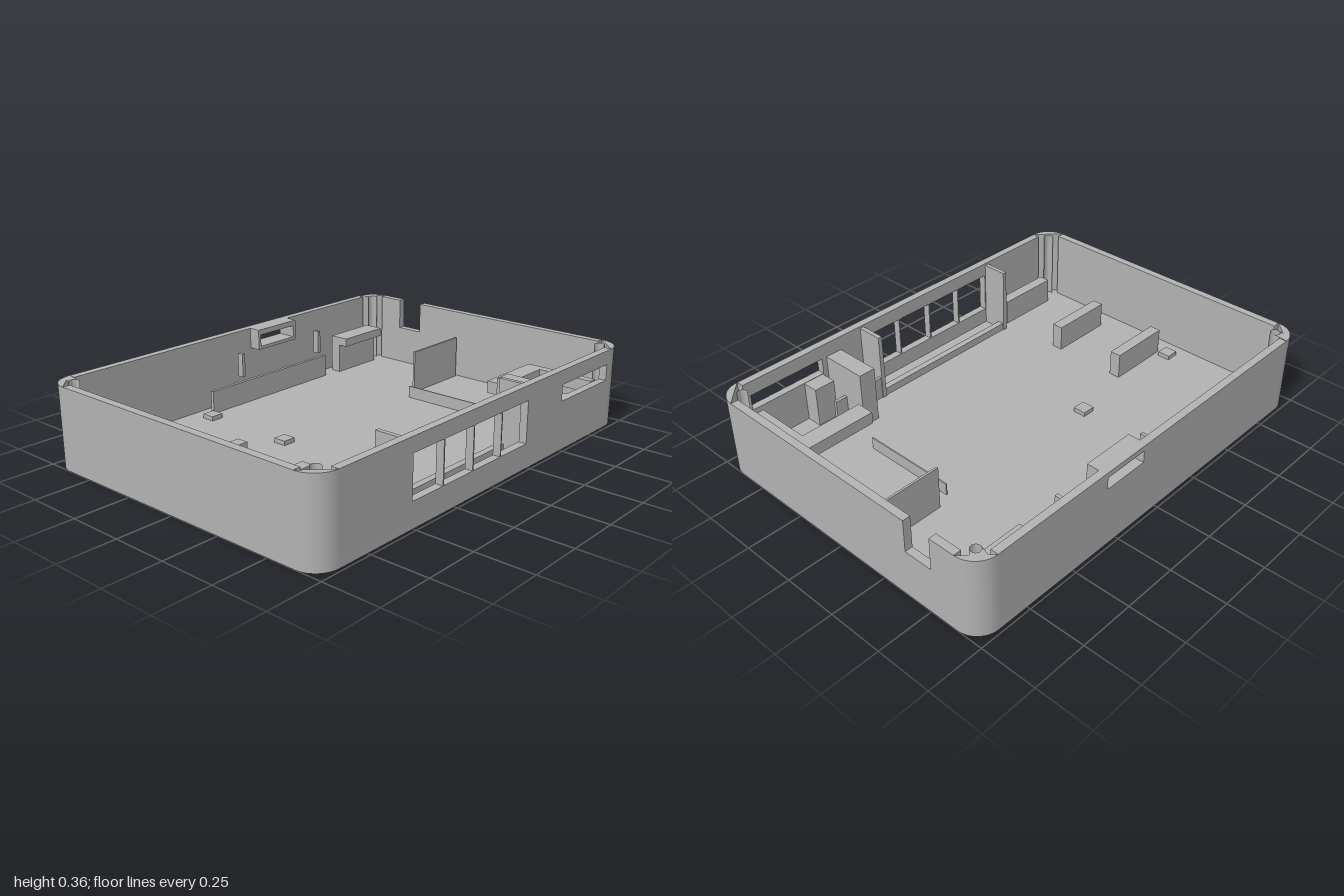
import * as THREE from 'three';
import { toCreasedNormals } from 'three/addons/utils/BufferGeometryUtils.js';

const W = 0.735, D = 1, H = 0.36, T = 0.035, R = 0.105, FLOOR = 0.035;

export function createModel() {
  const model = new THREE.Group();
  model.name = 'enclosureTray';
  const grey = new THREE.MeshStandardMaterial({ color: 0xb2b2b2 });
  grey.name = 'plasticGrey';

  const add = (name, geometry) => {
    const mesh = new THREE.Mesh(geometry, grey);
    mesh.name = name;
    model.add(mesh);
    return mesh;
  };
  // box given by its limits on each axis
  const box = (name, x0, x1, y0, y1, z0, z1) =>
    add(name, new THREE.BoxGeometry(x1 - x0, y1 - y0, z1 - z0))
      .position.set((x0 + x1) / 2, (y0 + y1) / 2, (z0 + z1) / 2);
  const polygon = (pts) => new THREE.Shape(pts.map(([a, b]) => new THREE.Vector2(a, b)));
  const rect = (a0, a1, b0, b1) => polygon([[a0, b0], [a1, b0], [a1, b1], [a0, b1]]);
  const extrude = (shape, depth) => toCreasedNormals(
    new THREE.ExtrudeGeometry(shape, { depth, bevelEnabled: false, curveSegments: 14 }), 0.5);
  // plan shape (x, -z) raised from y0 to y1
  const slab = (name, shape, y0, y1) =>
    add(name, extrude(shape, y1 - y0).rotateX(-Math.PI / 2).translate(0, y0, 0));
  // panel facing x, drawn in (-z, y), with rectangular openings
  const sidePanel = (name, shape, holes, x0, x1) => {
    shape.holes = holes;
    add(name, extrude(shape, x1 - x0).rotateY(Math.PI / 2).translate(x0, 0, 0));
  };

  // floor with rounded corners
  const base = new THREE.Shape();
  base.absarc(W - R, D - R, R, 0, Math.PI / 2);
  base.absarc(-W + R, D - R, R, Math.PI / 2, Math.PI);
  base.absarc(-W + R, -D + R, R, Math.PI, Math.PI * 1.5);
  base.absarc(W - R, -D + R, R, Math.PI * 1.5, Math.PI * 2);
  slab('floor', base, 0, FLOOR);

  // corner posts with screw holes
  [[1, 1, 0], [-1, 1, 1], [-1, -1, 2], [1, -1, 3]].forEach(([sx, sz, q]) => {
    const cx = sx * (W - R), cy = sz * (D - R);
    const corner = new THREE.Shape();
    corner.moveTo(cx, cy);
    corner.absarc(cx, cy, R, q * Math.PI / 2, (q + 1) * Math.PI / 2);
    corner.closePath();
    const screw = new THREE.Path();
    screw.absarc(sx * 0.66, sz * 0.925, 0.022, 0, Math.PI * 2);
    corner.holes.push(screw);
    slab('cornerPost', corner, FLOOR, H);
  });

  // front wall, and back wall with a cable notch
  const wx = W - R, wz = D - R;
  box('frontWall', -wx, wx, FLOOR, H, D - T, D);
  add('backWall', extrude(polygon([[-wx, FLOOR], [wx, FLOOR], [wx, H], [-0.38, H],
    [-0.38, 0.215], [-0.51, 0.215], [-0.51, H], [-wx, H]]), T).translate(0, 0, -D));

  // left wall with port windows divided by thin fins, and a slot near the back
  const ports = [];
  for (let i = 0; i < 4; i++) {
    const u = -0.505 + i * 0.186;
    ports.push(rect(u, u + 0.18, 0.11, 0.295));
  }
  sidePanel('portWall', rect(-wz, wz, FLOOR, H), [...ports, rect(0.495, 0.865, 0.222, 0.295)], W - T, W);

  // opposite wall and its inner socket frame share one opening
  const opening = () => [rect(0.10, 0.315, 0.28, 0.335)];
  sidePanel('socketWall', rect(-wz, wz, FLOOR, H), opening(), -W, -W + T);
  sidePanel('socketFrame', rect(0.085, 0.33, 0.265, H), opening(), -W + T, -0.645);

  // guide rail and clips beside the socket wall
  box('boardGuide', -0.648, -0.632, FLOOR, 0.14, -0.53, 0.22);
  for (const z of [-0.465, 0.042]) box('guideClip', -0.645, -0.615, 0.17, 0.28, z - 0.008, z + 0.008);

  // hooked bracket near the back corner
  box('bracketStem', -0.67, -0.62, FLOOR, 0.175, -0.89, -0.62);
  box('bracketTop', -0.67, -0.575, 0.175, 0.215, -0.89, -0.62);

  // partitions at the back
  box('tallPartition', -0.145, -0.135, FLOOR, 0.235, -0.95, -0.615);
  box('lowPartition', -0.11, 0.335, FLOOR, 0.09, -0.548, -0.542);

  // angled shelf and blocks by the slot
  slab('angledShelf', polygon([[0.335, 0.535], [0.42, 0.535], [0.42, 0.83], [0.68, 0.83],
    [0.68, 0.87], [0.335, 0.87]]), 0.16, 0.215);
  box('largeBlock', 0.48, 0.70, FLOOR, 0.295, -0.47, -0.39);
  box('smallBlock', 0.625, 0.70, FLOOR, 0.22, -0.60, -0.50);

  // port bay: two end plates and low rails
  for (const z of [-0.265, 0.52]) box('portBayPlate', 0.58, 0.70, FLOOR, 0.35, z - 0.01, z + 0.01);
  box('portBayRail', 0.585, 0.615, FLOOR, 0.07, -0.255, 0.51);
  box('portBayGuide', 0.585, 0.60, FLOOR, 0.14, -0.53, -0.275);

  // board standoffs
  for (const x of [-0.595, -0.145]) for (const z of [0.26, 0.875])
    box('standoff', x - 0.03, x + 0.03, FLOOR, 0.055, z - 0.03, z + 0.03);

  // support ribs at the front
  for (const x of [-0.068, 0.284, 0.636])
    box('supportRib', x - 0.026, x + 0.026, FLOOR, 0.155, 0.57, 0.87);

  return model;
}
